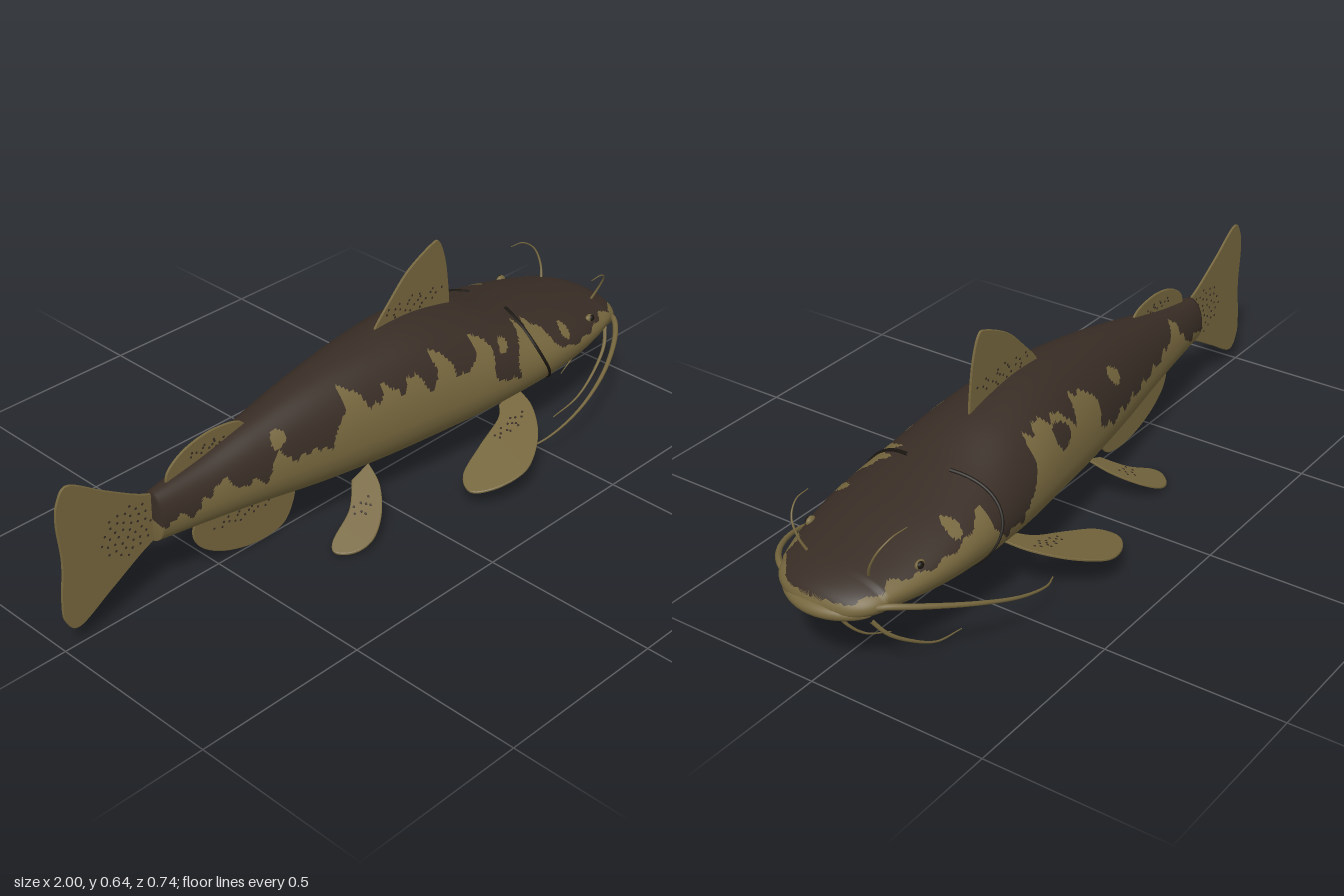
import * as THREE from 'three';
import { mergeGeometries } from 'three/addons/utils/BufferGeometryUtils.js';

const mat = (name, color) => Object.assign(new THREE.MeshStandardMaterial({ color }), { name });

// Smooth interpolation through rows [x, v1, v2, ...] for column k
function sample(rows, x, k) {
  let i = 0;
  while (i < rows.length - 2 && x > rows[i + 1][0]) i++;
  const slope = (a, b) => (rows[b][k] - rows[a][k]) / (rows[b][0] - rows[a][0]);
  const tangent = j => slope(Math.max(j - 1, 0), Math.min(j + 1, rows.length - 1));
  const d = rows[i + 1][0] - rows[i][0];
  const t = THREE.MathUtils.clamp((x - rows[i][0]) / d, 0, 1), t2 = t * t, t3 = t2 * t;
  return (2 * t3 - 3 * t2 + 1) * rows[i][k] + (t3 - 2 * t2 + t) * d * tangent(i)
    + (3 * t2 - 2 * t3) * rows[i + 1][k] + (t3 - t2) * d * tangent(i + 1);
}

// Body stations: x, top, bottom, half width
const stations = [
  [-0.71, 0.325, 0.185, 0.042], [-0.55, 0.352, 0.17, 0.068], [-0.4, 0.387, 0.152, 0.093],
  [-0.2, 0.43, 0.123, 0.127], [0, 0.458, 0.106, 0.158], [0.18, 0.466, 0.1, 0.182],
  [0.35, 0.437, 0.103, 0.205], [0.5, 0.388, 0.115, 0.218], [0.6, 0.36, 0.123, 0.22],
  [0.7, 0.335, 0.135, 0.212], [0.8, 0.308, 0.15, 0.192], [0.9, 0.28, 0.167, 0.16],
  [0.94, 0.264, 0.176, 0.138], [0.968, 0.247, 0.184, 0.1], [0.982, 0.23, 0.192, 0.055],
  [0.988, 0.212, 0.208, 0.001],
];

function surface(x, t, grow = 1) {
  const top = sample(stations, x, 1), bottom = sample(stations, x, 2), w = sample(stations, x, 3);
  const mid = x > 0.9 ? (top + bottom) / 2 : Math.min(0.25, (top + bottom) / 2 + 0.01);
  const s = Math.sin(t);
  return new THREE.Vector3(x, mid + s * grow * (s > 0 ? top - mid : mid - bottom), w * Math.cos(t) * grow);
}

// Lower edge of the dark back on each flank: x, y
const edgeLeft = [
  [-0.71, 0.25], [-0.6, 0.255], [-0.53, 0.3], [-0.46, 0.27], [-0.4, 0.265], [-0.345, 0.315], [-0.29, 0.28],
  [-0.24, 0.3], [-0.2, 0.27], [-0.17, 0.35], [-0.12, 0.405], [-0.08, 0.35], [-0.05, 0.34], [-0.02, 0.395],
  [0.02, 0.335], [0.06, 0.39], [0.12, 0.325], [0.17, 0.41], [0.22, 0.335], [0.26, 0.33], [0.3, 0.395],
  [0.34, 0.37], [0.37, 0.27], [0.43, 0.265], [0.46, 0.34], [0.51, 0.36], [0.57, 0.33], [0.63, 0.27],
  [0.76, 0.26], [0.85, 0.265], [0.92, 0.245], [0.99, 0.235],
];
const edgeRight = [
  [-0.71, 0.24], [-0.6, 0.25], [-0.53, 0.33], [-0.45, 0.29], [-0.3, 0.27], [-0.15, 0.26], [-0.03, 0.27],
  [0.03, 0.39], [0.08, 0.4], [0.13, 0.35], [0.17, 0.39], [0.25, 0.4], [0.32, 0.38], [0.38, 0.26],
  [0.46, 0.23], [0.52, 0.24], [0.57, 0.32], [0.63, 0.29], [0.76, 0.265], [0.85, 0.265], [0.92, 0.245], [0.99, 0.235],
];
// Isolated blotches that swap colour: side, x, y, radius
const blotches = [[1, -0.36, 0.35, 0.022], [1, 0.39, 0.35, 0.018], [1, 0.66, 0.3, 0.018],
  [-1, 0.2, 0.345, 0.035], [-1, -0.12, 0.36, 0.025], [-1, 0.66, 0.31, 0.018]];

function isDark(p) {
  const side = p.z >= 0 ? 1 : -1;
  const x = p.x + 0.012 * Math.sin(45 * p.y + side);
  const wobble = p.x < 0.55 ? 0.01 * Math.sin(83 * x) + 0.006 * Math.sin(171 * x) : 0.004 * Math.sin(90 * x);
  const dark = p.y > sample(side > 0 ? edgeLeft : edgeRight, x, 1) + wobble;
  return dark !== blotches.some(b => b[0] === side && Math.hypot(x - b[1], p.y - b[2]) < b[3]);
}

function bodyGeometry() {
  const n = 240, m = 112, pos = [], light = [], dark = [], pts = [];
  for (let i = -1; i <= n; i++) for (let j = 0; j < m; j++) {
    const u = Math.max(i, 0) / n;
    const p = surface(-0.71 + 1.698 * u, j / m * Math.PI * 2, i < 0 ? 0 : 1);
    pts.push(p);
    pos.push(p.x, p.y, p.z);
  }
  const face = (...f) => {
    const c = f.reduce((s, k) => s.add(pts[k]), new THREE.Vector3()).divideScalar(3);
    (isDark(c) ? dark : light).push(...f);
  };
  for (let i = 0; i <= n; i++) for (let j = 0; j < m; j++) {
    const a = i * m + j, b = i * m + (j + 1) % m;
    face(a, a + m, b + m);
    face(a, b + m, b);
  }
  const g = new THREE.BufferGeometry();
  g.setAttribute('position', new THREE.Float32BufferAttribute(pos, 3));
  g.setIndex([...light, ...dark]);
  g.addGroup(0, light.length, 0);
  g.addGroup(light.length, dark.length, 1);
  g.computeVertexNormals();
  return g;
}

// Tube that thins toward its end
function taper(points, r0, r1) {
  const path = new THREE.CatmullRomCurve3(points.map(p => new THREE.Vector3(...p)));
  const n = 40, radial = 8, g = new THREE.TubeGeometry(path, n, r0, radial), p = g.attributes.position;
  const v = new THREE.Vector3();
  for (let i = 0; i <= n; i++) {
    const c = path.getPointAt(i / n), k = 1 + (r1 / r0 - 1) * i / n;
    for (let j = 0; j <= radial; j++) {
      const q = i * (radial + 1) + j;
      v.fromBufferAttribute(p, q).sub(c).multiplyScalar(k).add(c);
      p.setXYZ(q, v.x, v.y, v.z);
    }
  }
  return g;
}

export function createModel() {
  const olive = mat('olive skin', 0x75663d), brown = mat('dark brown back', 0x382d25), black = mat('near black', 0x1a1510);
  const model = new THREE.Group();
  const add = (parent, name, geometry, material) => {
    const mesh = new THREE.Mesh(geometry, material);
    mesh.name = name;
    parent.add(mesh);
    return mesh;
  };

  add(model, 'body', bodyGeometry(), [olive, brown]);

  // Fin from a 2D outline, with freckles in an ellipse [cx, cy, rx, ry, count];
  // tilt [a, b, c] lays it on the plane y = a + b x + c z
  function fin(parent, name, outline, freckles, tilt) {
    const v = outline.map(p => new THREE.Vector2(...p));
    const shape = new THREE.Shape().moveTo(v[0].x, v[0].y).splineThru(v.slice(1));
    const plate = new THREE.ExtrudeGeometry(shape, { depth: 0.004, bevelThickness: 0.0015, bevelSize: 0.002, bevelSegments: 1, curveSegments: 40 });
    plate.translate(0, 0, -0.002);
    const [cx, cy, rx, ry, count] = freckles, dots = [];
    for (let i = 0; i < count; i++) {
      const r = Math.sqrt((i + 0.5) / count), t = i * 2.4;
      dots.push(new THREE.CylinderGeometry(0.0036, 0.0036, 0.0085, 7).rotateX(Math.PI / 2)
        .translate(cx + rx * r * Math.cos(t), cy + ry * r * Math.sin(t), 0));
    }
    const spots = mergeGeometries(dots);
    if (tilt) for (const g of [plate, spots]) {
      const p = g.attributes.position;
      for (let i = 0; i < p.count; i++) {
        const x = p.getX(i), z = p.getY(i);
        p.setXYZ(i, x, tilt[0] + tilt[1] * x + tilt[2] * z - p.getZ(i), z);
      }
      g.computeVertexNormals();
    }
    add(parent, name, plate, olive);
    add(parent, name + 'Freckles', spots, brown);
  }

  // Fins on the centre line
  fin(model, 'dorsalFin', [[0.08, 0.44], [0.075, 0.465], [0.13, 0.525], [0.2, 0.59], [0.29, 0.635], [0.32, 0.632],
    [0.345, 0.57], [0.36, 0.48], [0.365, 0.42]], [0.22, 0.49, 0.12, 0.025, 24]);
  fin(model, 'tailFin', [[-0.69, 0.315], [-0.75, 0.34], [-0.85, 0.4], [-0.95, 0.463], [-0.985, 0.43], [-0.993, 0.37],
    [-0.985, 0.26], [-0.995, 0.15], [-0.99, 0.09], [-0.95, 0.055], [-0.85, 0.11], [-0.75, 0.168], [-0.69, 0.195]],
  [-0.79, 0.255, 0.08, 0.075, 40]);
  fin(model, 'analFin', [[-0.56, 0.19], [-0.58, 0.14], [-0.56, 0.09], [-0.5, 0.045], [-0.42, 0.015], [-0.34, 0.004],
    [-0.27, 0.018], [-0.235, 0.07], [-0.22, 0.14]], [-0.41, 0.12, 0.11, 0.02, 20]);
  fin(model, 'adiposeFin', [[-0.66, 0.32], [-0.65, 0.36], [-0.6, 0.395], [-0.53, 0.412], [-0.46, 0.41], [-0.41, 0.395],
    [-0.38, 0.36]], [-0.52, 0.375, 0.07, 0.014, 14]);

  // Paired parts, mirrored across z
  for (const side of [1, -1]) {
    const half = new THREE.Group();
    half.name = side > 0 ? 'frontSideParts' : 'backSideParts';
    half.scale.z = side;
    model.add(half);

    fin(half, 'pectoralFin', [[0.47, 0.17], [0.45, 0.24], [0.39, 0.315], [0.31, 0.362], [0.25, 0.367], [0.18, 0.342],
      [0.137, 0.3], [0.165, 0.25], [0.26, 0.222], [0.36, 0.2], [0.4, 0.17]], [0.36, 0.24, 0.06, 0.02, 14], [0.063, 0.3, -0.145]);
    fin(half, 'pelvicFin', [[-0.04, 0.09], [-0.06, 0.15], [-0.11, 0.205], [-0.17, 0.234], [-0.225, 0.225], [-0.262, 0.19],
      [-0.245, 0.165], [-0.16, 0.14], [-0.1, 0.09]], [-0.13, 0.16, 0.04, 0.02, 8], [0.18, 0.383, -0.363]);

    // Whiskers
    add(half, 'longWhisker', taper([[0.93, 0.215, 0.12], [0.91, 0.226, 0.16], [0.85, 0.215, 0.215], [0.72, 0.175, 0.28],
      [0.58, 0.125, 0.308], [0.46, 0.085, 0.3], [0.38, 0.055, 0.265]], 0.009, 0.002), olive);
    add(half, 'outerChinWhisker', taper([[0.92, 0.18, 0.125], [0.89, 0.135, 0.148], [0.82, 0.08, 0.167], [0.74, 0.035, 0.175],
      [0.64, 0.012, 0.172]], 0.006, 0.0015), olive);
    add(half, 'innerChinWhisker', taper([[0.94, 0.18, 0.035], [0.92, 0.14, 0.05], [0.87, 0.09, 0.063], [0.79, 0.052, 0.074]],
      0.005, 0.0012), olive);
    add(half, 'nostrilWhisker', taper([[0.88, 0.265, 0.09], [0.895, 0.31, 0.108], [0.89, 0.355, 0.13], [0.855, 0.382, 0.145],
      [0.805, 0.385, 0.15]], 0.004, 0.0012), olive);

    // Gill slit following the skin
    const gill = [];
    for (let i = 0; i <= 12; i++) {
      const u = i / 12, p = surface(0.53 - 0.025 * Math.sin(u * 4) + 0.04 * u * u, 1.27 - 1.9 * u, 1.003);
      gill.push([p.x, p.y, p.z]);
    }
    add(half, 'gillSlit', taper(gill, 0.0055, 0.004), black);

    // Eye and pupil
    const spot = surface(0.785, 0.55);
    const eye = add(half, 'eye', new THREE.SphereGeometry(0.016, 20, 14), olive);
    eye.position.copy(spot);
    eye.scale.set(1, 0.8, 0.6);
    const pupil = add(half, 'pupil', new THREE.SphereGeometry(0.011, 16, 12), black);
    pupil.position.copy(spot).add(new THREE.Vector3(0.003, 0.002, 0.004));
    pupil.scale.set(1, 0.9, 0.75);
  }

  // Lip: a flattened ellipsoid bent back around the snout
  const lip = new THREE.SphereGeometry(1, 40, 24).scale(0.033, 0.022, 0.135);
  const lp = lip.attributes.position;
  for (let i = 0; i < lp.count; i++) lp.setX(i, lp.getX(i) + 0.967 - 2.2 * lp.getZ(i) ** 2);
  lip.translate(0, 0.203, 0);
  lip.computeVertexNormals();
  add(model, 'lip', lip, olive);

  return model;
}
